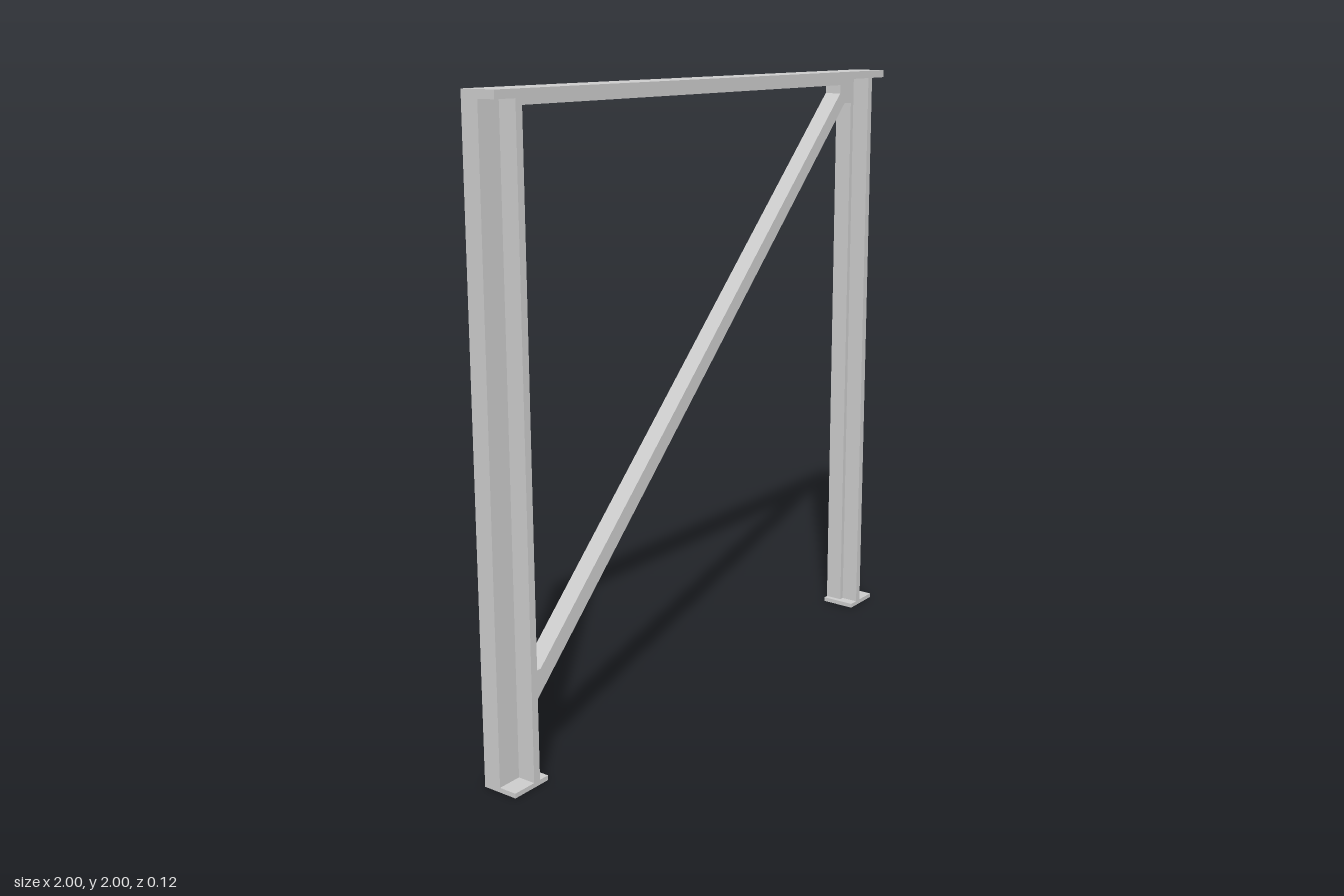
import * as THREE from 'three';

export function createModel() {
  const group = new THREE.Group();
  const material = new THREE.MeshStandardMaterial({ color: 0xcccccc, flatShading: true });
  const D = 0.06;     // half of the total depth
  const foot = 0.015; // foot plate thickness
  const rib = 0.025;  // stiffener thickness

  const add = (name, geometry) => {
    const mesh = new THREE.Mesh(geometry, material);
    mesh.name = name;
    group.add(mesh);
    return mesh;
  };
  const box = (name, x0, x1, y0, y1, z0, z1) =>
    add(name, new THREE.BoxGeometry(x1 - x0, y1 - y0, z1 - z0))
      .position.set((x0 + x1) / 2, (y0 + y1) / 2, (z0 + z1) / 2);
  const points = (list) => list.map(([x, y]) => new THREE.Vector2(x, y));

  // Rear frame: two legs, top beam and diagonal brace with corner gussets in one piece
  const outline = new THREE.Shape(points([
    [-1, foot], [-0.88, foot], [-0.88, 0.18], [0.835, 1.888],
    [0.878, 1.888], [0.878, foot], [1, foot], [1, 2], [-1, 2],
  ]));
  outline.holes.push(new THREE.Path(points([
    [-0.88, 0.32], [-0.88, 1.952], [0.805, 1.952], [0.805, 1.923], [-0.815, 0.32],
  ])));
  const frame = new THREE.ExtrudeGeometry(outline, { depth: D, bevelEnabled: false });
  add('bracedFrame', frame.translate(0, 0, -D));

  // Flange along the front of the top beam
  box('topFlange', -1, 1, 2 - rib, 2, 0, D);

  // Front rib and foot plate of each leg
  for (const [side, s] of [['left', 1], ['right', -1]]) {
    const span = (a, b) => (s > 0 ? [a, b] : [-b, -a]);
    box(side + 'LegRib', ...span(0.895, 0.92), foot, 2 - rib, 0, D);
    box(side + 'FootPlate', ...span(0.86, 1), 0, foot, -D, D);
  }
  return group;
}
